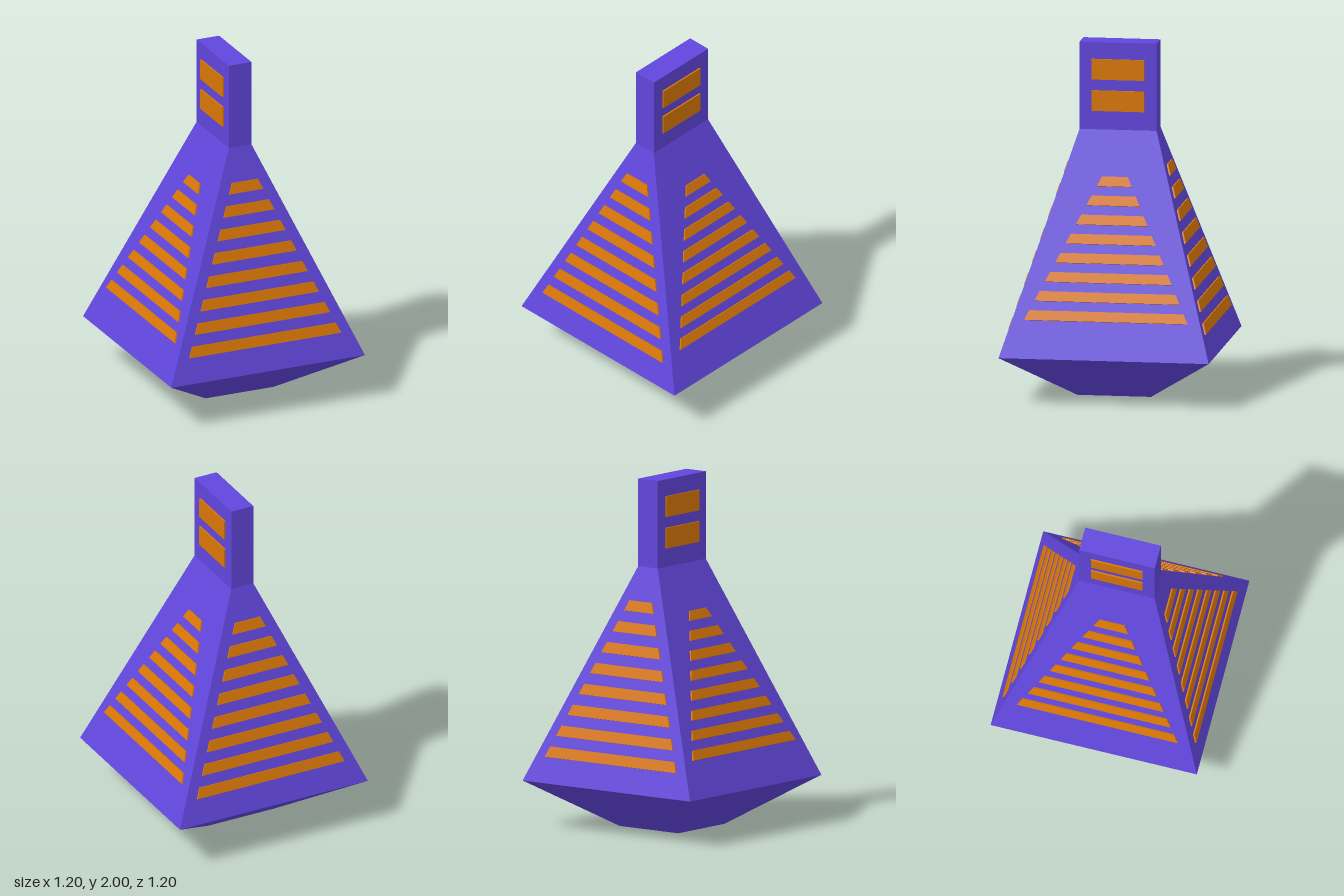
import * as THREE from 'three';

// Rectangular cross-sections of the body: [y, half width x, half depth z]
const LEVELS = [[0, 0.21, 0.21], [0.27, 0.6, 0.6], [1.5, 0.07, 0.22], [2, 0.07, 0.22]];
const PLATE = 0.009;

function bodyGeometry() {
  const rings = LEVELS.map(([y, x, z]) => [[x, y, z], [x, y, -z], [-x, y, -z], [-x, y, z]]);
  const pos = [];
  const quad = (a, b, c, d) => pos.push(...a, ...b, ...c, ...a, ...c, ...d);
  for (let i = 0; i < rings.length - 1; i++) {
    const lo = rings[i], hi = rings[i + 1];
    for (let k = 0; k < 4; k++) {
      const n = (k + 1) % 4;
      quad(lo[k], lo[n], hi[n], hi[k]);
    }
  }
  const top = rings[rings.length - 1], base = rings[0];
  quad(top[0], top[1], top[2], top[3]);
  quad(base[3], base[2], base[1], base[0]);
  const g = new THREE.BufferGeometry();
  g.setAttribute('position', new THREE.Float32BufferAttribute(pos, 3));
  g.computeVertexNormals();
  return g;
}

// Thin trapezoid plate standing on the local xy plane
function plateGeometry(y0, y1, w0, w1) {
  const shape = new THREE.Shape([
    new THREE.Vector2(-w0, y0), new THREE.Vector2(w0, y0),
    new THREE.Vector2(w1, y1), new THREE.Vector2(-w1, y1),
  ]);
  return new THREE.ExtrudeGeometry(shape, { depth: PLATE, bevelEnabled: false });
}

// Eight tapering slats laid on one sloping face
function slatPanel(material, inset, firstY, step, height, wideStart, wideEnd) {
  const panel = new THREE.Group();
  const tilt = Math.atan2(inset, 1.23);
  const along = (y) => (y - 0.27) / Math.cos(tilt);
  const taper = (wideStart - wideEnd) / (7 * step);
  for (let i = 0; i < 8; i++) {
    const y = firstY + i * step;
    const w = wideStart - taper * i * step;
    const slat = new THREE.Mesh(plateGeometry(along(y), along(y + height), w, w - taper * height), material);
    slat.name = 'slat';
    panel.add(slat);
  }
  panel.position.set(0, 0.27, 0.6);
  panel.rotation.x = -tilt;
  return panel;
}

export function createModel() {
  const purple = new THREE.MeshStandardMaterial({ color: 0x6146dc });
  purple.name = 'purple';
  const orange = new THREE.MeshStandardMaterial({ color: 0xd97706 });
  orange.name = 'orange';

  const model = new THREE.Group();
  model.name = 'tower';
  const body = new THREE.Mesh(bodyGeometry(), purple);
  body.name = 'body';
  model.add(body);

  for (const [name, turn] of [['front', 0], ['back', Math.PI], ['left', Math.PI / 2], ['right', -Math.PI / 2]]) {
    const side = new THREE.Group();
    side.name = name + 'Face';
    side.rotation.y = turn;
    const wide = name === 'front' || name === 'back';
    const panel = wide
      ? slatPanel(orange, 0.38, 0.412, 0.12, 0.059, 0.47, 0.105)
      : slatPanel(orange, 0.53, 0.476, 0.103, 0.052, 0.467, 0.1);
    panel.name = name + 'Slats';
    side.add(panel);

    // Two windows on each broad side of the neck
    if (!wide) {
      for (const y of [1.606, 1.786]) {
        const win = new THREE.Mesh(plateGeometry(y, y + 0.118, 0.15, 0.15), orange);
        win.name = 'window';
        win.position.z = 0.07;
        side.add(win);
      }
    }
    model.add(side);
  }
  return model;
}
